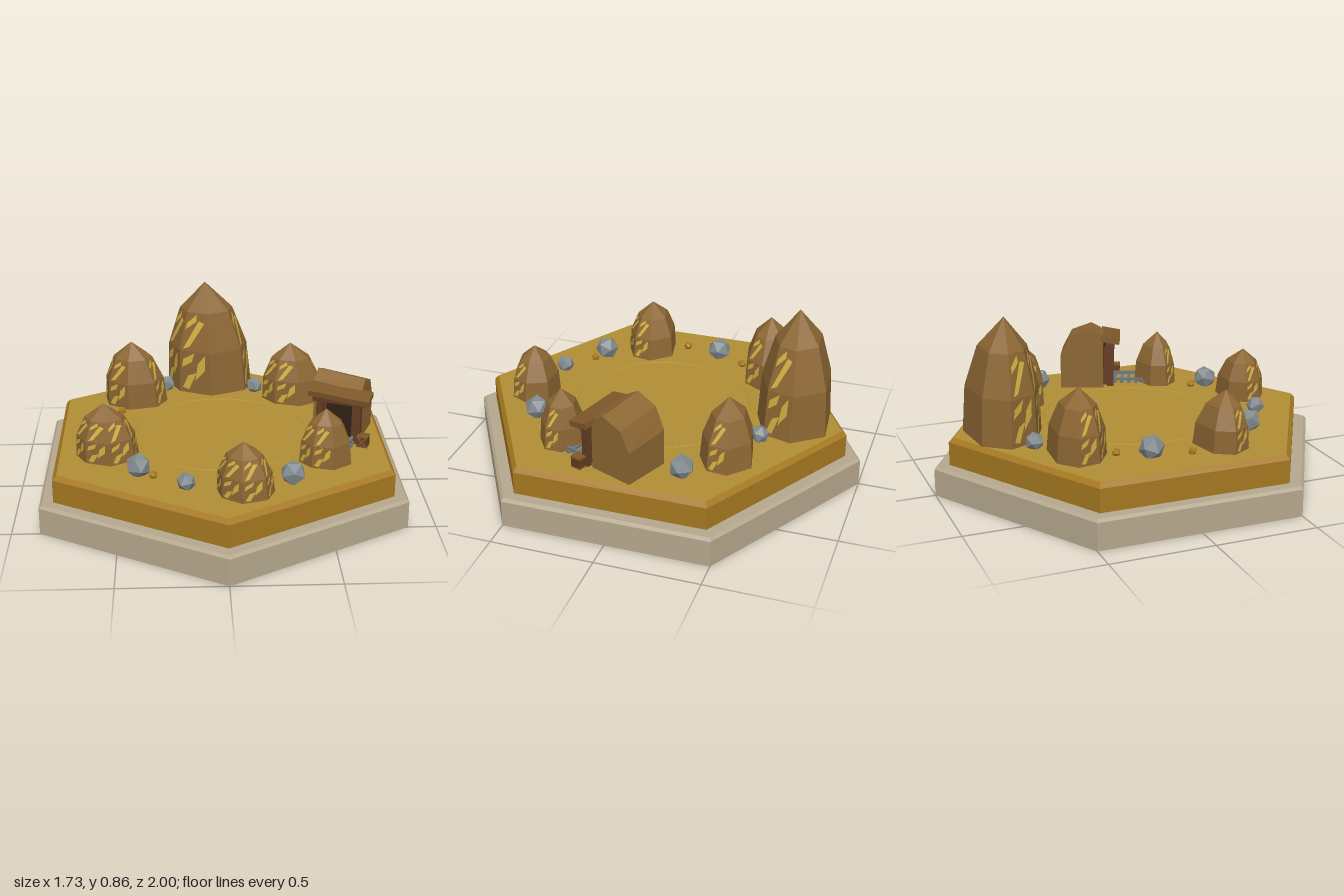
import * as THREE from 'three';

const GROUND = 0.28;
const mat = (name, color, extra = {}) => {
  const m = new THREE.MeshStandardMaterial({ color, flatShading: true, ...extra });
  m.name = name;
  return m;
};

export function createModel() {
  const stone = mat('pale stone', 0xb6a88e);
  const soil = mat('ochre soil', 0xa57820);
  const sand = mat('sand', 0xb08e35);
  const rock = mat('brown rock', 0x8c6633);
  const vein = mat('gold vein', 0xd0ae40, { side: THREE.DoubleSide });
  const grey = mat('grey boulder', 0x828b90);
  const wood = mat('dark wood', 0x643c22);
  const plank = mat('roof plank', 0x7d5729);
  const dark = mat('tunnel dark', 0x2f2016);
  const steel = mat('rail steel', 0x6c767d);

  const root = new THREE.Group();
  const add = (name, geo, material, parent = root, pos = [0, 0, 0], rot = [0, 0, 0]) => {
    const m = new THREE.Mesh(geo, material);
    m.name = name;
    m.position.set(...pos);
    m.rotation.set(...rot);
    parent.add(m);
    return m;
  };
  const box = (name, material, parent, size, pos, rot) =>
    add(name, new THREE.BoxGeometry(...size), material, parent, pos, rot);

  // Hexagonal plinth and soil slab with chamfered top edges
  const hex = (pts) => new THREE.LatheGeometry(pts.map((p) => new THREE.Vector2(...p)), 6);
  add('plinth', hex([[0, 0], [1, 0], [1, 0.132], [0.985, 0.145], [0.9, 0.145]]), stone);
  add('soilSlab', hex([[0.925, 0.145], [0.925, 0.258], [0.902, GROUND]]), soil);
  add('sandTop', new THREE.CircleGeometry(0.902, 6, Math.PI / 2), sand, root, [0, GROUND, 0], [-Math.PI / 2, 0, 0]);
  add('groundRing', new THREE.TorusGeometry(0.43, 0.006, 4, 48), sand, root, [0, GROUND, 0], [Math.PI / 2, 0, 0])
    .scale.z = 0.5;

  // Rock spires: one seven-sided outline scaled up through rings to an apex
  const outline = [[-1, -0.19], [-0.6, -0.86], [0.51, -1], [1, -0.19], [0.82, 0.58], [0.02, 1], [-0.73, 0.58]];
  const rings = [[0, 1], [0.4, 0.93], [0.75, 0.62]];
  // Vein shards: band, then corners across (u) and up (v) a face
  const shards = [
    [1, [0.1, 0.05], [0.32, 0.12], [0.85, 0.75], [0.6, 0.8]],
    [1, [0.08, 0.55], [0.5, 0.78], [0.48, 0.95], [0.1, 0.72]],
    [0, [0.1, 0.12], [0.3, 0.08], [0.55, 0.5], [0.28, 0.42]],
    [0, [0.5, 0.3], [0.82, 0.58], [0.85, 0.95], [0.6, 0.72]],
    [0, [0.08, 0.6], [0.4, 0.75], [0.5, 0.98], [0.12, 0.8]],
  ];
  const meshFrom = (tris) => {
    const g = new THREE.BufferGeometry().setFromPoints(tris);
    g.computeVertexNormals();
    return g;
  };
  function spire(name, x, z, rx, rz, top, apexX, turn, veined) {
    const h = top - GROUND, g = new THREE.Group();
    g.name = name;
    g.position.set(x, GROUND, z);
    const c = Math.cos(turn), s = Math.sin(turn);
    const pt = (i, k) => {
      const [a, b] = outline[i % 7], [y, r] = rings[k];
      return new THREE.Vector3((a * c + b * s) * rx * r + apexX * y, y * h, (b * c - a * s) * rz * r);
    };
    const apex = new THREE.Vector3(apexX, h, 0), body = [], gold = [];
    for (let i = 0; i < 7; i++) {
      for (let k = 0; k < 2; k++) {
        const bl = pt(i + 1, k), br = pt(i, k), tr = pt(i, k + 1), tl = pt(i + 1, k + 1);
        body.push(bl, br, tr, bl, tr, tl);
        if (!veined.includes(i)) continue;
        const n = br.clone().sub(bl).cross(tl.clone().sub(bl)).normalize();
        for (const [band, ...uv] of shards) {
          if (band !== k) continue;
          const q = uv.map(([u, v]) => bl.clone().lerp(br, u).lerp(tl.clone().lerp(tr, u), v).addScaledVector(n, 0.003));
          gold.push(q[0], q[1], q[2], q[0], q[2], q[3]);
        }
      }
      body.push(pt(i + 1, 2), pt(i, 2), apex);
    }
    add(name + 'Body', meshFrom(body), rock, g);
    add(name + 'Veins', meshFrom(gold), vein, g);
    root.add(g);
  }
  spire('tallSpire', -0.035, -0.655, 0.225, 0.18, 0.86, -0.025, 0, [3, 5, 6]);
  spire('backLeftSpire', 0.4, -0.44, 0.16, 0.125, 0.59, -0.02, 0.15, [3, 5, 6]);
  spire('backRightSpire', -0.435, -0.43, 0.165, 0.13, 0.61, -0.015, -0.2, [3, 5, 6]);
  spire('rightSpire', -0.55, 0.245, 0.15, 0.125, 0.55, -0.015, 0.1, [3, 4, 5, 6]);
  spire('frontSpire', 0.085, 0.655, 0.133, 0.117, 0.53, -0.01, -0.15, [3, 4, 5, 6]);
  spire('shackSpire', 0.485, 0.345, 0.125, 0.105, 0.55, -0.005, 0.2, [3, 5, 6]);

  // Grey boulders and small ochre pebbles
  [[-0.27, -0.585, 0.046], [0.2, -0.545, 0.046], [0.605, -0.285, 0.062], [-0.57, -0.125, 0.062],
    [-0.4, 0.45, 0.062], [-0.18, 0.6, 0.046], [0.31, 0.55, 0.062]].forEach(([x, z, r], i) => {
    add('boulder', new THREE.IcosahedronGeometry(r), grey, root, [x, GROUND + r * 0.65, z], [i * 0.3, i * 1.3, 0]);
  });
  [[-0.5, -0.27], [-0.61, 0.06], [-0.33, 0.49], [0.31, 0.47]].forEach(([x, z], i) => {
    add('pebble', new THREE.IcosahedronGeometry(0.022), soil, root, [x, GROUND + 0.012, z], [0, i, 0]);
  });

  // Mine entrance, turned to face the clearing
  const mine = new THREE.Group();
  mine.name = 'mineEntrance';
  mine.position.set(0.605, GROUND, -0.02);
  mine.rotation.y = -0.39;
  root.add(mine);

  // Faceted rock hood, profile swept sideways and sinking toward its left
  const profile = new THREE.Shape([[-0.1, 0], [0.125, 0], [0.125, 0.17], [0.075, 0.27], [-0.03, 0.31], [-0.1, 0.27]]
    .map((p) => new THREE.Vector2(...p)));
  const hood = new THREE.ExtrudeGeometry(profile, { depth: 0.24, bevelEnabled: false });
  hood.translate(0, 0, -0.12).rotateY(Math.PI / 2);
  const p = hood.attributes.position;
  for (let i = 0; i < p.count; i++) p.setY(i, p.getY(i) * (1 - 0.4 * p.getX(i)));
  hood.computeVertexNormals();
  add('rockHood', hood, rock, mine);

  // Timber doorway
  box('tunnelMouth', dark, mine, [0.17, 0.21, 0.008], [0.02, 0.105, 0.104]);
  for (const x of [-0.075, 0.115]) {
    box('doorPost', wood, mine, [0.032, 0.22, 0.035], [x, 0.11, 0.135]);
    box('innerPost', wood, mine, [0.022, 0.21, 0.02], [x * 0.8, 0.105, 0.112]);
  }
  box('lintel', wood, mine, [0.26, 0.03, 0.045], [0.02, 0.215, 0.135]);
  box('awning', plank, mine, [0.3, 0.028, 0.1], [0.025, 0.247, 0.135], [0.18, 0, -0.08]);

  // Crate with cross braces
  const crate = new THREE.Group();
  crate.name = 'crate';
  crate.position.set(0.15, 0.028, 0.155);
  mine.add(crate);
  box('crateBody', wood, crate, [0.052, 0.054, 0.052], [0, 0, 0]);
  for (const a of [-1, 1]) {
    box('crateBrace', plank, crate, [0.062, 0.007, 0.004], [0, 0, 0.027], [0, 0, a * Math.PI / 4]);
    box('crateSlat', plank, crate, [0.054, 0.007, 0.056], [0, a * 0.024, 0]);
  }

  // Rail track
  for (const x of [-0.03, 0.09]) box('rail', steel, mine, [0.013, 0.014, 0.24], [x, 0.02, 0.215]);
  for (let i = 0; i < 6; i++) box('sleeper', steel, mine, [0.155, 0.012, 0.018], [0.03, 0.008, 0.12 + i * 0.038]);

  return root;
}
